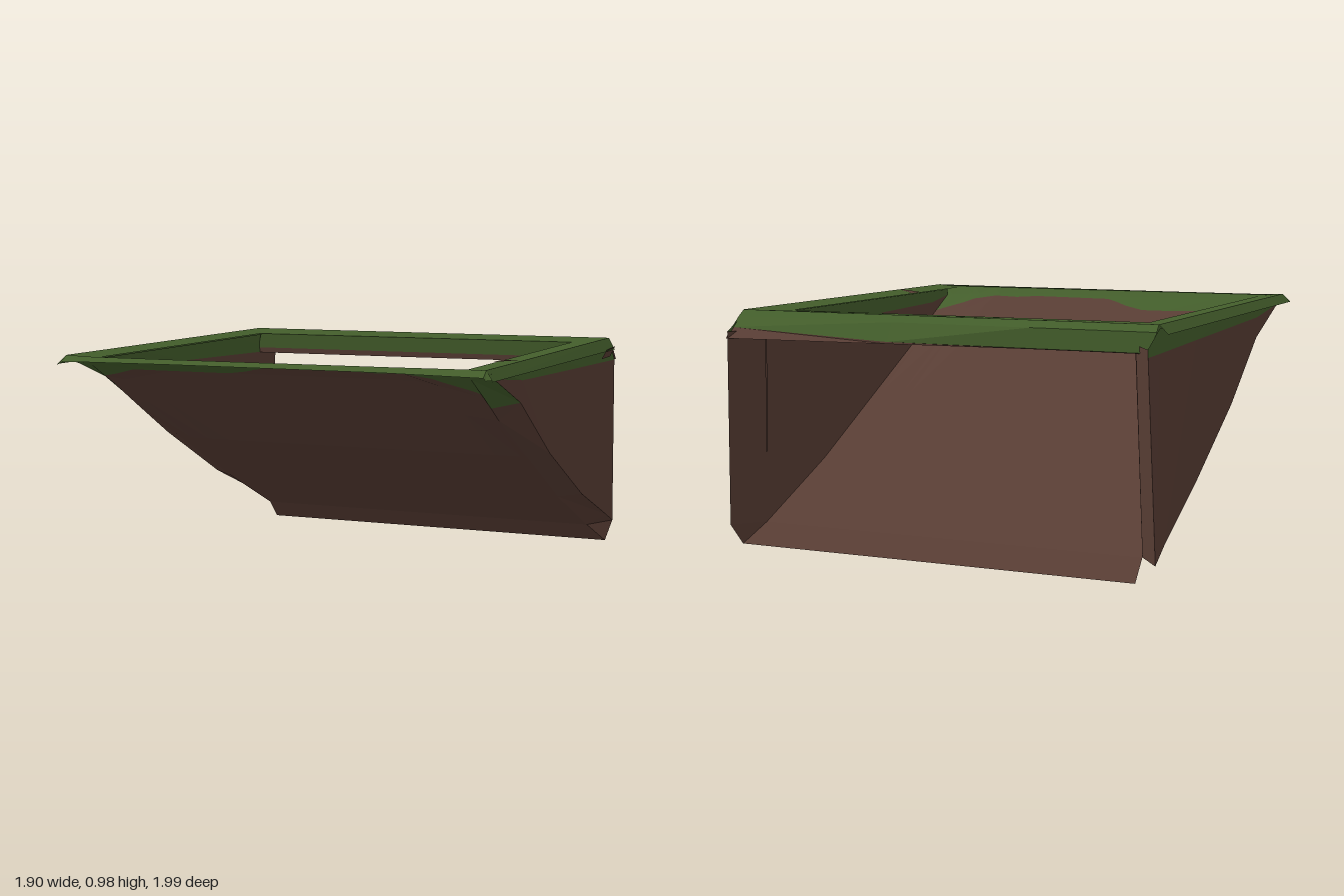
import * as THREE from 'three';

const green = new THREE.MeshStandardMaterial({ color: 0x435d2b, side: THREE.DoubleSide });
green.name = 'grassGreen';
const brown = new THREE.MeshStandardMaterial({ color: 0x583d34, side: THREE.DoubleSide });
brown.name = 'earthBrown';

const lerp = THREE.MathUtils.lerp;
const mix = (a, b, t) => a.map((v, i) => lerp(v, b[i], t));

// Faceted sheet lofted through rows of [x, y, z] points
function sheet(name, material, rows) {
  const pos = [];
  for (let i = 0; i < rows.length - 1; i++) {
    for (let j = 0; j < rows[i].length - 1; j++) {
      const a = rows[i][j], b = rows[i + 1][j], c = rows[i + 1][j + 1], d = rows[i][j + 1];
      pos.push(...a, ...b, ...c, ...a, ...c, ...d);
    }
  }
  const geo = new THREE.BufferGeometry();
  geo.setAttribute('position', new THREE.Float32BufferAttribute(pos, 3));
  geo.computeVertexNormals();
  const mesh = new THREE.Mesh(geo, material);
  mesh.name = name;
  return mesh;
}

// Ramp stations: z, right-edge x, left-edge x, edge height, bulge in the middle
const stations = [
  [0.95, -0.91, 0.90, 0.975, 0],
  [0.85, -0.85, 0.81, 0.935, 0.02],
  [0.68, -0.85, 0.81, 0.845, 0.06],
  [0.5, -0.85, 0.81, 0.74, 0.03],
  [0.1, -0.85, 0.81, 0.54, 0],
  [-0.4, -0.85, 0.81, 0.29, 0],
  [-0.85, -0.85, 0.83, 0.085, 0],
  [-0.93, -0.85, 0.9, 0, 0],
];

// Point on the ramp, u running 0..1 across it
function ramp(u, z) {
  let i = 0;
  while (i < stations.length - 2 && z < stations[i + 1][0]) i++;
  const a = stations[i], b = stations[i + 1];
  const [, x0, x1, y, bulge] = mix(a, b, (a[0] - z) / (a[0] - b[0]));
  return [lerp(x0, x1, u), y + bulge * Math.min(1, 7 * u * (1 - u)), z];
}

// Outer foot of the thick side walls: z, height, right x, left x
const outerFoot = [
  [0.95, 0.965, -0.91, 0.90], [0.85, 0.94, -0.91, 0.90], [0.5, 0.815, -0.91, 0.90],
  [0.1, 0.56, -0.915, 0.91], [-0.4, 0.31, -0.92, 0.92], [-0.86, 0.14, -0.94, 0.92],
  [-0.99, 0.09, -0.95, 0.92],
];

// Splits a wall between its top and foot rows at the lower edge of the grass
function bandRow(top, foot) {
  return foot.map((f, i) => {
    const y = Math.max(f[1], 0.893 + 0.024 * f[2]);
    return mix(f, top[i], (y - f[1]) / Math.max(top[i][1] - f[1], 0.001));
  });
}

export function createModel() {
  const model = new THREE.Group();
  model.name = 'rampPit';
  const add = (...args) => model.add(sheet(...args));

  // Ramp, with grass spilling over its top edge along a wavy line
  const wave = [[-0.85, 0.75], [-0.79, 0.75], [-0.7, 0.77], [-0.6, 0.71], [-0.42, 0.68], [-0.3, 0.68],
    [-0.2, 0.73], [-0.13, 0.78], [-0.08, 0.81], [0.3, 0.82], [0.4, 0.8], [0.52, 0.81], [0.63, 0.79],
    [0.67, 0.76], [0.78, 0.73], [0.81, 0.72]];
  const strips = (zs) => wave.map(([x, w]) => zs(w).map((z) => ramp((x + 0.85) / 1.66, z)));
  add('grassSlope', green, strips((w) => [0.95, 0.85, w]));
  add('earthRamp', brown, strips((w) => [w, 0.68, 0.5, 0.1, -0.4, -0.85, -0.93]));

  // Thick side walls: inner face, outer face, sloping underside and back return
  for (const side of [-1, 1]) {
    const name = side < 0 ? 'right' : 'left';
    const u = side < 0 ? 0 : 1;

    const innerFoot = [0.85, 0.68, 0.5, 0.1, -0.4, -0.85].map((z) => ramp(u, z));
    const innerTop = innerFoot.map(([, , z]) => [side * 0.81, 0.965, z]);
    const innerBand = bandRow(innerTop, innerFoot);
    add(name + 'InnerGrass', green, [innerTop, innerBand]);
    add(name + 'InnerEarth', brown, [innerBand, innerFoot]);

    const foot = outerFoot.map(([z, y, xr, xl]) => [side < 0 ? xr : xl, y, z]);
    const top = foot.map(([, , z]) => [side * 0.912, z < -0.9 ? 0.9 : 0.966, z]);
    const band = bandRow(top, foot);
    add(name + 'OuterGrass', green, [top, band]);
    add(name + 'OuterEarth', brown, [band, foot]);

    const edge = [0.95, 0.85, 0.6, 0.5, 0.1, -0.4, -0.85, -0.85].map((z) => ramp(u, z));
    add(name + 'UndersideGrass', green, [edge.slice(0, 3), foot.slice(0, 3)]);
    add(name + 'UndersideEarth', brown, [edge.slice(2), [foot[2], ...foot.slice(2)]]);
    add(name + 'BackReturn', brown, [[[side * 0.815, 0.9, -0.85], edge[7]], [top[6], foot[6]]]);
  }

  // Corner joining the left wall foot to the ramp lip
  add('cornerEarth', brown, [[[0.83, 0.085, -0.85], [0.83, 0.085, -0.85]], [[0.9, 0, -0.93], [0.92, 0.09, -0.99]]]);

  // Side rims: flat top and drooping outer lip
  const rim = (inner, edge, lip, z, zl, yLip) =>
    [[inner, 0.97, z], [edge, 0.982, z], [lip, yLip, zl]];
  add('rightRim', green, [rim(-0.8, -0.91, -0.945, -0.86, -0.855, 0.945),
    rim(-0.8, -0.91, -0.945, 0.95, 0.96, 0.945)]);
  add('leftRim', green, [rim(0.785, 0.915, 0.95, -0.86, -0.84, 0.93),
    rim(0.785, 0.90, 0.93, 0.95, 0.96, 0.94)]);

  // Front rim: grass lip folding over the front
  add('frontRim', green, [
    [[-0.945, 0.95, 0.95], [-0.91, 0.982, 0.948], [-0.79, 0.978, 0.948], [-0.42, 0.978, 0.945], [0.5, 0.98, 0.945], [0.9, 0.982, 0.94], [0.93, 0.945, 0.96]],
    [[-0.94, 0.94, 0.98], [-0.91, 0.955, 0.985], [-0.79, 0.96, 0.995], [-0.42, 0.962, 0.99], [0.5, 0.962, 0.99], [0.9, 0.955, 0.98], [0.91, 0.945, 0.98]],
  ]);

  // Lintel over the back opening: inner face, top and a back skirt that flares to the left
  add('lintelGrass', green, [
    [[-0.82, 0.9, -0.665], [-0.8, 0.97, -0.655], [-0.91, 0.982, -0.86], [-0.912, 0.955, -0.892], [-0.9, 0.875, -0.895]],
    [[-0.41, 0.9, -0.673], [-0.4, 0.97, -0.663], [-0.4, 0.982, -0.86], [-0.4, 0.955, -0.892], [-0.4, 0.875, -0.895]],
    [[0.2, 0.9, -0.684], [0.2, 0.97, -0.674], [0.2, 0.982, -0.86], [0.2, 0.955, -0.892], [0.2, 0.88, -0.935]],
    [[0.82, 0.9, -0.695], [0.785, 0.97, -0.685], [0.915, 0.982, -0.86], [0.92, 0.955, -0.892], [0.92, 0.915, -0.942]],
  ]);
  add('lintelEarth', brown, [
    [[-0.82, 0.9, -0.665], [-0.82, 0.875, -0.67], [-0.9, 0.872, -0.89], [-0.9, 0.875, -0.895]],
    [[-0.41, 0.9, -0.673], [-0.41, 0.875, -0.678], [-0.4, 0.872, -0.89], [-0.4, 0.875, -0.895]],
    [[0.2, 0.9, -0.684], [0.2, 0.875, -0.689], [0.2, 0.872, -0.935], [0.2, 0.88, -0.935]],
    [[0.82, 0.9, -0.695], [0.82, 0.875, -0.7], [0.92, 0.872, -0.99], [0.92, 0.915, -0.942]],
  ]);

  // Bare earth patches on the left rim
  const onRim = (x, z) => [x, 0.973 + 0.105 * (x - 0.785), z];
  add('rimPatch', brown, [[0.785, 0.4], [0.82, 0.44], [0.86, 0.46], [0.895, 0.495]]
    .map(([x, z]) => [onRim(x, z), onRim(x, 0.5)]));
  add('lipPatch', brown, [
    [[0.948, 0.937, -0.69], [0.949, 0.945, -0.85]],
    [[0.925, 0.895, -0.69], [0.925, 0.895, -0.85]],
  ]);
  return model;
}
